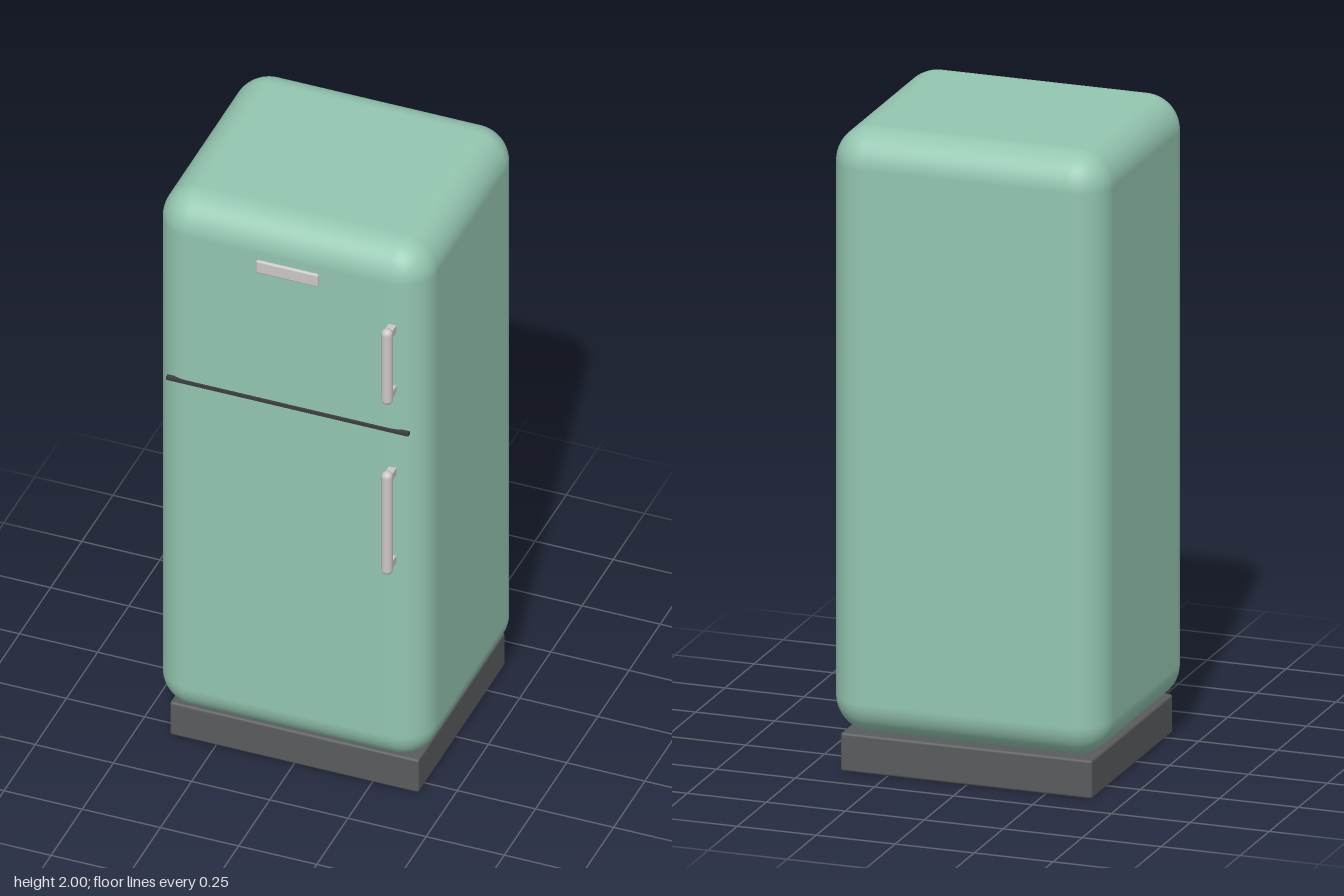
import * as THREE from 'three';
import { RoundedBoxGeometry } from 'three/addons/geometries/RoundedBoxGeometry.js';

function material(name, color) {
  const m = new THREE.MeshStandardMaterial({ color });
  m.name = name;
  return m;
}

export function createModel() {
  const enamel = material('mint enamel', 0x94c6b0);
  const chrome = material('pale metal', 0xcbc7c5);
  const plinthGrey = material('dark grey', 0x5a5b5d);
  const seamGrey = material('seam grey', 0x3c3e40);

  const model = new THREE.Group();
  model.name = 'refrigerator';

  function add(parent, name, geometry, mat, x, y, z) {
    const mesh = new THREE.Mesh(geometry, mat);
    mesh.name = name;
    mesh.position.set(x, y, z);
    parent.add(mesh);
    return mesh;
  }

  // Softly rounded cabinet on a recessed plinth
  add(model, 'cabinet', new RoundedBoxGeometry(0.87, 1.885, 0.774, 8, 0.11), enamel, 0, 1.0575, -0.031);
  add(model, 'plinth', new RoundedBoxGeometry(0.796, 0.12, 0.698, 2, 0.008), plinthGrey, 0, 0.06, -0.0425);

  // Gap between the freezer door and the main door
  add(model, 'doorSeam', new THREE.BoxGeometry(0.775, 0.011, 0.014), seamGrey, 0, 1.353, 0.355);

  // Blank trim plate on the freezer door
  add(model, 'trimPlate', new RoundedBoxGeometry(0.2, 0.045, 0.014, 3, 0.006), chrome, 0, 1.842, 0.357);

  // Round bar handles, each held by two square posts
  function addHandle(name, bottom, top) {
    const handle = new THREE.Group();
    handle.name = name;
    handle.position.set(0.335, (bottom + top) / 2, 0);
    model.add(handle);
    const radius = 0.0175;
    const length = top - bottom;
    add(handle, 'grip', new THREE.CapsuleGeometry(radius, length - 2 * radius, 6, 16), chrome, 0, 0, 0.399);
    for (const side of [-1, 1]) {
      add(handle, 'post', new THREE.BoxGeometry(0.024, 0.026, 0.055), chrome, 0, side * (length / 2 - 0.026), 0.3725);
    }
  }
  addHandle('freezerHandle', 1.48, 1.755);
  addHandle('mainHandle', 0.855, 1.23);

  return model;
}
